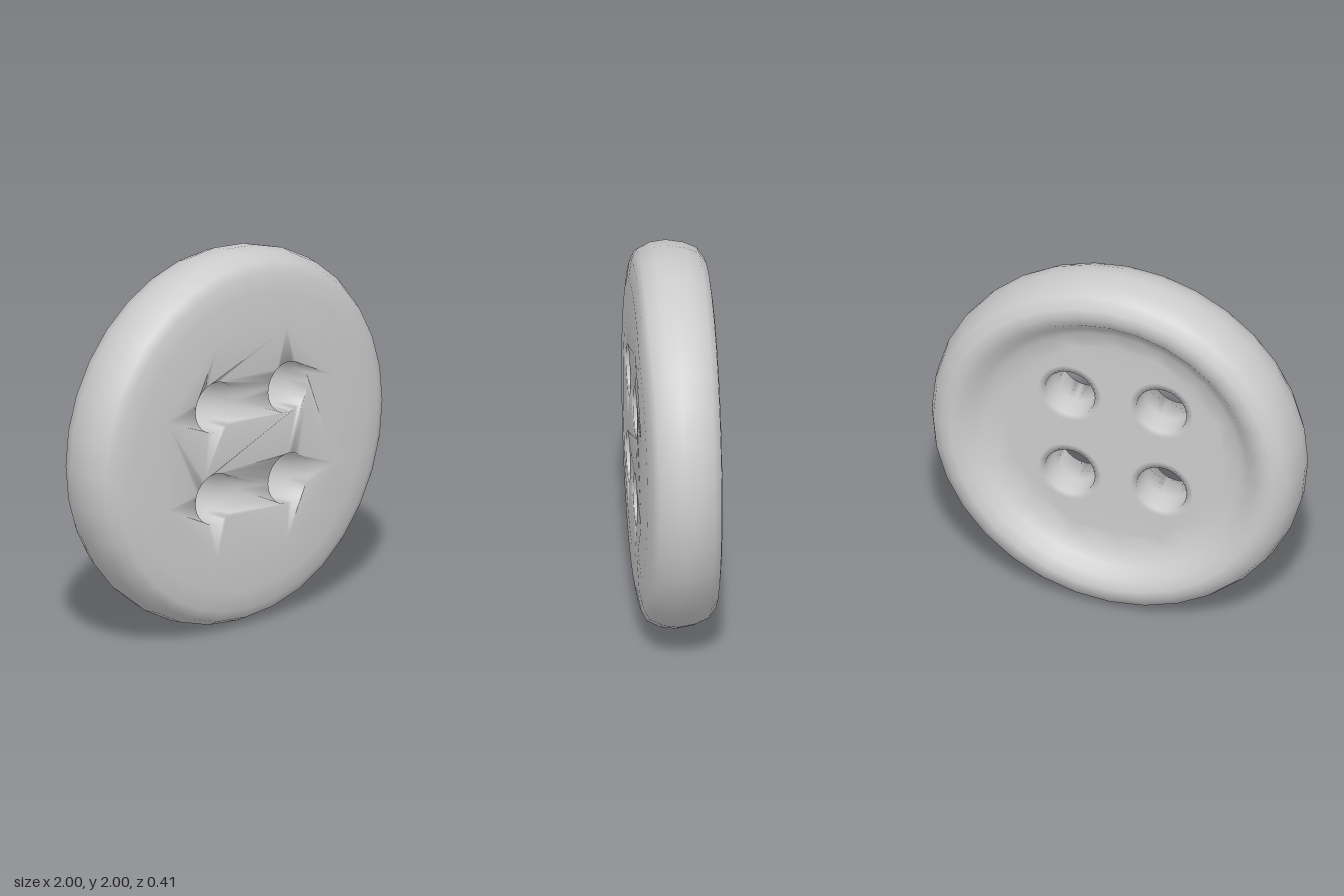
import * as THREE from 'three';
import { mergeGeometries, mergeVertices } from 'three/addons/utils/BufferGeometryUtils.js';

const SIDES = 32;
const FRONT = 0.2, FLOOR = -0.075;      // z of the front face and of the recessed back
const FACE_R = 0.62, FLOOR_R = 0.6;     // rings where the flat faces meet the rim
const HOLE_R = 0.135, COLLAR_R = 0.17;
const HOLES = [[-0.25, 0.25], [0.245, 0.25], [-0.25, -0.245], [0.245, -0.245]];

// Keep only positions, so that all pieces weld into one smooth skin
function bare(geo) {
  geo.deleteAttribute('normal');
  geo.deleteAttribute('uv');
  return geo;
}

// Profile of [radius, z] turned around the z axis
function turned(profile, cx = 0, cy = 0) {
  const geo = new THREE.LatheGeometry(profile.map(p => new THREE.Vector2(...p)), SIDES);
  return bare(geo.rotateX(Math.PI / 2).translate(cx, cy, 0));
}

// Ring of points matching the turned pieces
function ring(r, cx = 0, cy = 0) {
  return Array.from({ length: SIDES }, (_, i) => {
    const a = i / SIDES * Math.PI * 2;
    return new THREE.Vector2(cx + r * Math.sin(a), cy - r * Math.cos(a));
  });
}

// Flat disc with four round openings
function piercedDisc(r, holeR, z, faceBack) {
  const shape = new THREE.Shape(ring(r));
  for (const [x, y] of HOLES) shape.holes.push(new THREE.Path(ring(holeR, x, y)));
  const geo = bare(new THREE.ShapeGeometry(shape).translate(0, 0, z));
  if (faceBack) geo.index.array.reverse();
  return geo;
}

export function createModel() {
  const group = new THREE.Group();
  const grey = new THREE.MeshStandardMaterial({ color: 0xcccccc });
  grey.name = 'light grey';

  const pieces = [
    // rounded rim, from the back recess around to the front face
    turned([
      [FLOOR_R, FLOOR], [0.68, -0.09], [0.74, -0.13], [0.79, -0.18], [0.85, -0.205],
      [0.9, -0.198], [0.955, -0.16], [0.985, -0.09], [1, 0],
      [0.99, 0.08], [0.955, 0.15], [0.9, 0.178], [0.8, 0.195], [FACE_R, FRONT],
    ]),
    piercedDisc(FACE_R, HOLE_R, FRONT, false),
    piercedDisc(FLOOR_R, COLLAR_R, FLOOR, true),
    // thread holes with a narrow collar on the back
    ...HOLES.map(([x, y]) => turned(
      [[HOLE_R, FRONT], [HOLE_R, 0.06], [HOLE_R, FLOOR], [COLLAR_R, FLOOR]], x, y)),
  ];
  const skin = mergeVertices(mergeGeometries(pieces), 1e-4);

  // front edge slopes gently away on one side
  const pos = skin.attributes.position;
  for (let i = 0; i < pos.count; i++) {
    const x = pos.getX(i), z = pos.getZ(i);
    if (z > 0.07 && x > 0.45) pos.setZ(i, z - (x - 0.45) * 0.05);
  }
  skin.computeVertexNormals();

  const button = new THREE.Mesh(skin, grey);
  button.name = 'button';
  button.position.y = 1;
  group.add(button);
  return group;
}
